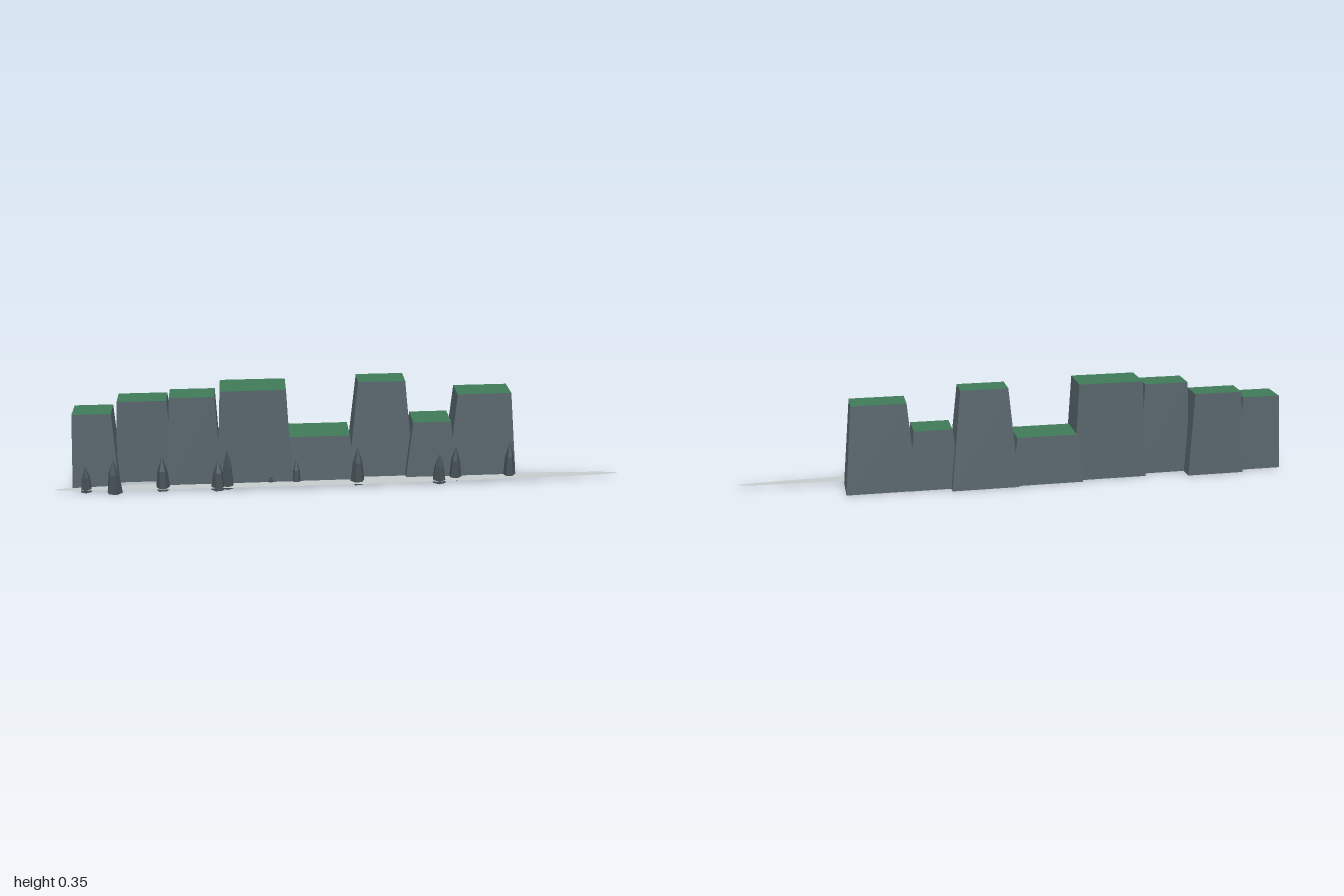
import * as THREE from 'three';

export function createModel() {
  const model = new THREE.Group();
  model.name = 'seaCliffs';

  const makeMaterial = (name, color) => {
    const m = new THREE.MeshStandardMaterial({ color, flatShading: true });
    m.name = name;
    return m;
  };
  const stone = makeMaterial('cliffStone', 0x56646a);
  const grass = makeMaterial('grass', 0x3f7a58);
  const rock = makeMaterial('wetRock', 0x434e53);
  const foam = makeMaterial('foam', 0xc4cbca);
  foam.side = THREE.DoubleSide;

  // Cliff blocks: boxes tapered towards the top, with grass on the top face
  // [centre x, centre z, base width, base depth, height, top width, top depth]
  const blocks = [
    [-0.858, -0.024, 0.163, 0.118, 0.27, 0.134, 0.097],
    [-0.687, -0.056, 0.204, 0.104, 0.30, 0.171, 0.088],
    [-0.511, 0.0, 0.187, 0.112, 0.33, 0.156, 0.093],
    [-0.301, -0.013, 0.264, 0.138, 0.35, 0.228, 0.124],
    [-0.073, -0.022, 0.254, 0.154, 0.173, 0.215, 0.132],
    [0.149, -0.045, 0.236, 0.129, 0.354, 0.166, 0.089],
    [0.325, -0.016, 0.182, 0.133, 0.213, 0.134, 0.112],
    [0.508, -0.015, 0.244, 0.132, 0.312, 0.19, 0.099],
  ];
  for (const [x, z, w, d, h, tw, td] of blocks) {
    const g = new THREE.BoxGeometry(w, h, d);
    const p = g.attributes.position;
    for (let i = 0; i < p.count; i++) {
      if (p.getY(i) > 0) {
        p.setX(i, p.getX(i) * tw / w);
        p.setZ(i, p.getZ(i) * td / d);
      }
    }
    g.computeVertexNormals();
    const mesh = new THREE.Mesh(g, [stone, stone, grass, stone, stone, stone]);
    mesh.name = 'cliffBlock';
    mesh.position.set(x, h / 2, z);
    model.add(mesh);
  }

  // Pointed rocks along the foot: [x, z, radius, height]
  const rocks = [
    [-0.888, 0.062, 0.021, 0.092], [-0.788, 0.078, 0.028, 0.12],
    [-0.622, 0.067, 0.025, 0.125], [-0.43, 0.076, 0.026, 0.108],
    [-0.397, 0.068, 0.023, 0.142], [-0.246, 0.047, 0.016, 0.05],
    [-0.155, 0.05, 0.018, 0.09], [0.06, 0.062, 0.026, 0.136],
    [0.35, 0.074, 0.026, 0.105], [0.411, 0.052, 0.024, 0.125],
    [0.605, 0.049, 0.023, 0.136],
  ];
  rocks.forEach(([x, z, r, h], i) => {
    const profile = [[0, 0], [r, 0], [r * 0.68, h * 0.58], [0, h]]
      .map(([a, b]) => new THREE.Vector2(a, b));
    const mesh = new THREE.Mesh(new THREE.LatheGeometry(profile, 6), rock);
    mesh.name = 'shoreRock';
    mesh.position.set(x, 0, z);
    mesh.rotation.y = i * 1.3;
    model.add(mesh);
  });

  // Flat, long ellipse of foam at the waterline
  const sheet = new THREE.Mesh(new THREE.CircleGeometry(1, 32), foam);
  sheet.name = 'foamLine';
  sheet.rotation.x = -Math.PI / 2;
  sheet.scale.set(1, 0.032, 1);
  sheet.position.set(0, 0.01, 0.067);
  model.add(sheet);

  return model;
}
